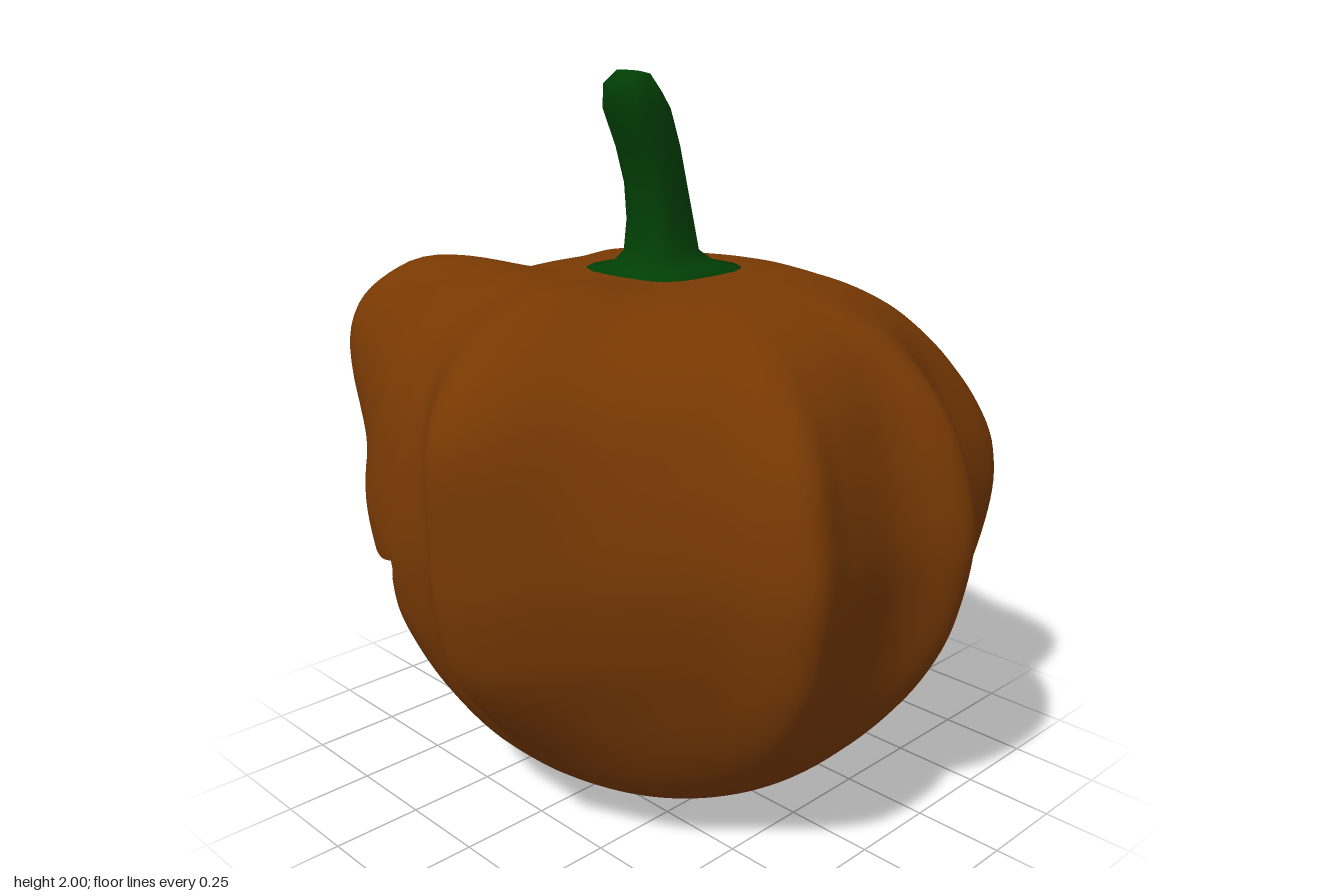
import * as THREE from 'three';
import { mergeVertices } from 'three/addons/utils/BufferGeometryUtils.js';

const mat = (name, color, side = THREE.FrontSide) =>
  Object.assign(new THREE.MeshStandardMaterial({ color, side }), { name });
const smooth = (x, a, b) => THREE.MathUtils.smoothstep(x, a, b);
const bump = (x, c, w) => Math.exp(-(((x - c) / w) ** 2));

// Lumpy widest outline seen from above (x, z), running once round the body
const OUTLINE = [
  [.82, -.08], [.88, -.22], [.72, -.38], [.66, -.5], [.61, -.73], [.42, -.76], [.25, -.82], [.05, -.9],
  [-.2, -.87], [-.4, -.79], [-.62, -.65], [-.82, -.37], [-.88, -.05], [-.85, .2], [-.75, .4], [-.6, .62],
  [-.3, .78], [-.18, .81], [-.1, .79], [0, .82], [.13, .9], [.25, .85], [.45, .66], [.66, .46],
  [.84, .34], [.82, .2], [.8, 0],
];
// Average side profile (radius, y)
const PROFILE = [
  [0, 0], [.15, .008], [.3, .04], [.46, .1], [.6, .2], [.72, .35], [.8, .5], [.85, .65], [.88, .84],
  [.86, 1], [.81, 1.15], [.72, 1.28], [.6, 1.38], [.42, 1.45], [.2, 1.462], [0, 1.458],
];
// Mouth edges: degrees round from the middle of the face, height
const UPPER_LIP = [
  [-86, .91], [-73, .86], [-65, .72], [-60, .68], [-56, .69], [-54, .78], [-46, .79], [-43, .68], [-37, .68],
  [-33, .77], [-25, .75], [-21, .63], [-10, .58], [-5, .69], [0, .69], [5, .62], [14, .59], [17, .68],
  [24, .68], [27, .62], [34, .62], [38, .74], [46, .77], [51, .77], [58, .72], [66, .74], [75, .78],
];
const LOWER_LIP = [
  [-86, .9], [-67, .34], [-55, .35], [-52, .46], [-48, .46], [-45, .36], [-36, .37], [-33, .46], [-29, .46],
  [-25, .35], [-16, .36], [-13, .48], [-4, .48], [4, .5], [7, .38], [17, .38], [21, .52], [27, .53],
  [30, .43], [38, .41], [41, .5], [45, .49], [49, .4], [63, .36], [75, .77],
];

function lerpTable(table, x) {
  const n = Math.max(1, table.findIndex(p => x <= p[0]));
  const [x0, y0] = table[n - 1], [x1, y1] = table[n];
  return y0 + (y1 - y0) * (x - x0) / (x1 - x0);
}

// Positive inside the carved openings; the face looks along -x
function carve(deg, y) {
  const eye = (c, w) => .15 * (1 - Math.hypot(((deg - c) / w) ** 2, ((y - 1.185) / .16) ** 2));
  const beyond = Math.max(-86 - deg, deg - 75);
  const mouth = beyond < 0
    ? Math.min(lerpTable(UPPER_LIP, deg) - y, y - lerpTable(LOWER_LIP, deg))
    : -.004 * beyond - .001;
  return Math.max(mouth, eye(-26, 13.5), eye(21 + (y - 1.185) * 22, 14.5));
}

// One sample of the shell: outer point, inner point and carving value
function shellPoint([ox, oz], [R, y]) {
  const len = Math.hypot(ox, oz), dx = ox / len, dz = oz / len;
  const angle = Math.atan2(oz, -ox), deg = THREE.MathUtils.radToDeg(angle);
  const lump = (len / .88 - 1) * smooth(y, .1, .6) * (1 - .7 * smooth(y, 1.1, 1.45));
  // Ridges rise over the shoulder; the back slopes off and the front tucks under
  const shoulder = smooth(y, .95, 1.32);
  const brow = (bump(deg, 45, 13) + .25 * bump(deg, -27, 13)) * shoulder * smooth(R, .3, .6);
  const ridge = bump(deg, 98, 17) * smooth(y, .85, 1.35) * smooth(R, .1, .45);
  const slope = bump(deg, -100, 40) * smooth(y, .95, 1.2);
  const tuck = bump(deg, 98, 40) * (1 - smooth(y, .2, .64));
  const r = R * (1 + lump) * (1 + .2 * brow + .13 * ridge - .08 * slope - .09 * tuck);
  const h = y + .11 * brow + .045 * ridge;
  // The lining is smoother, and turned towards the face so the openings taper inwards
  const thin = .91 - .04 * smooth(y, .3, .9);
  const ri = R * thin * (1 + lump * .5 - .08 * slope - .09 * tuck);
  const turned = angle - .15 * Math.sin(angle);
  return {
    f: carve(deg, y),
    o: new THREE.Vector3(dx * r, h, dz * r),
    i: new THREE.Vector3(-Math.cos(turned) * ri, .75 + (y - .75) * thin, Math.sin(turned) * ri),
  };
}

function toGeometry(points) {
  const g = mergeVertices(new THREE.BufferGeometry().setFromPoints(points), 1e-4);
  g.computeVertexNormals();
  return g;
}

// Skin, lining and the cut walls, made by clipping a fine grid at the openings
function buildShell() {
  const COLS = 240, ROWS = 90;
  const ring = new THREE.CatmullRomCurve3(OUTLINE.map(([x, z]) => new THREE.Vector3(x, 0, z)), true)
    .getSpacedPoints(COLS).map(p => [p.x, p.z]);
  const side = new THREE.SplineCurve(PROFILE.map(p => new THREE.Vector2(...p)))
    .getSpacedPoints(ROWS).map(p => [Math.max(p.x, 0), p.y]);
  const grid = side.map(s => ring.map(o => shellPoint(o, s)));
  const skin = [], lining = [], walls = [];

  const clip = tri => {
    const keep = [], cut = [];
    tri.forEach((a, n) => {
      const b = tri[(n + 1) % 3];
      if (a.f <= 0) keep.push(a);
      if ((a.f <= 0) !== (b.f <= 0)) {
        const t = a.f / (a.f - b.f);
        const p = { o: a.o.clone().lerp(b.o, t), i: a.i.clone().lerp(b.i, t) };
        keep.push(p);
        cut.push(p);
      }
    });
    for (let n = 1; n + 1 < keep.length; n++) {
      const [a, b, c] = [keep[0], keep[n], keep[n + 1]];
      skin.push(a.o, b.o, c.o);
      lining.push(a.i, c.i, b.i);
    }
    if (cut.length === 2) {
      const [a, b] = cut;
      walls.push(a.o, a.i, b.i, a.o, b.i, b.o);
    }
  };
  for (let j = 0; j < ROWS; j++) {
    for (let i = 0; i < COLS; i++) {
      const a = grid[j][i], b = grid[j][i + 1], c = grid[j + 1][i + 1], d = grid[j + 1][i];
      if (j > 0) clip([a, b, c]);
      if (j < ROWS - 1) clip([a, c, d]);
    }
  }
  return { skin, lining, walls };
}

// Bent stem with a flared square foot: [y, z centre, half width x, half width z]
function buildStem() {
  const rows = [
    [1.42, -.04, .18, .18], [1.468, -.04, .18, .18], [1.478, -.04, .12, .125], [1.515, -.03, .085, .09],
    [1.6, -.025, .08, .075], [1.7, -.008, .077, .067], [1.8, .02, .08, .067], [1.9, .06, .08, .072],
    [1.955, .075, .07, .06], [1.994, .07, .045, .03], [1.998, .07, 0, 0],
  ];
  const N = 24, pts = [];
  const at = ([y, z, hx, hz], k) => {
    const a = k / N * Math.PI * 2, c = Math.cos(a), s = Math.sin(a);
    const q = (c ** 4 + s ** 4) ** -.25;
    const tilt = y > 1.9 ? s * q * hz * .2 : 0;
    return new THREE.Vector3(-.06 + c * q * hx, y - tilt, z - s * q * hz);
  };
  for (let j = 0; j + 1 < rows.length; j++) {
    for (let k = 0; k < N; k++) {
      const a = at(rows[j], k), b = at(rows[j], k + 1), c = at(rows[j + 1], k + 1), d = at(rows[j + 1], k);
      pts.push(a, b, c);
      if (rows[j + 1][2] > 0) pts.push(a, c, d);
    }
  }
  return pts;
}

export function createModel() {
  const model = new THREE.Group();
  model.name = 'carvedPumpkin';
  const orange = mat('pumpkin skin', 0x783903);
  const cream = mat('pumpkin flesh', 0xdcd18a);
  const olive = mat('cut flesh', 0x7c744d, THREE.DoubleSide);
  const green = mat('stem green', 0x013f05);
  const { skin, lining, walls } = buildShell();
  const add = (name, points, material) => {
    const mesh = new THREE.Mesh(toGeometry(points), material);
    mesh.name = name;
    model.add(mesh);
  };
  add('skin', skin, orange);
  add('innerLining', lining, cream);
  add('openingWalls', walls, olive);
  add('stem', buildStem(), green);
  return model;
}
